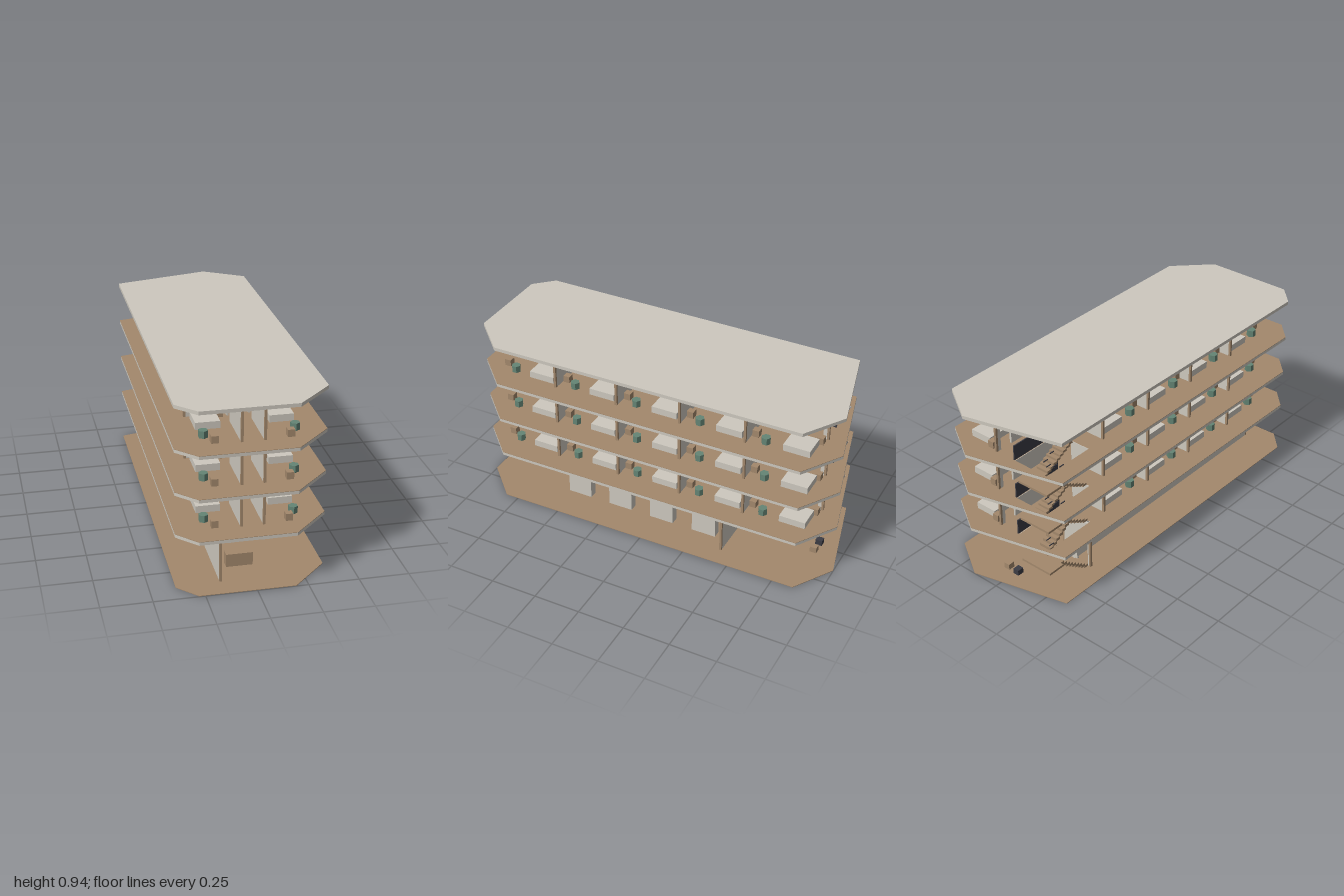
import * as THREE from 'three';

export function createModel() {
  const model = new THREE.Group();
  const mat = (name, color, extra = {}) => Object.assign(new THREE.MeshStandardMaterial({ color, ...extra }), { name });
  const concrete = mat('concrete', 0xcdc8be);
  const timber = mat('timber', 0xa3886c);
  const green = mat('planter green', 0x648575, { flatShading: true });
  const dark = mat('dark metal', 0x3c3c44);

  const add = (name, geo, material, parent = model) => {
    const mesh = new THREE.Mesh(geo, material);
    mesh.name = name;
    parent.add(mesh);
    return mesh;
  };
  // box given by its min and max along each axis
  const box = (name, material, [x0, x1], [y0, y1], [z0, z1], parent = model) => {
    const m = add(name, new THREE.BoxGeometry(Math.abs(x1 - x0), y1 - y0, Math.abs(z1 - z0)), material, parent);
    m.position.set((x0 + x1) / 2, (y0 + y1) / 2, (z0 + z1) / 2);
    return m;
  };

  // storey slabs share one outline; middle slabs have a stairwell hole
  const outline = [[-0.36, -0.875], [0.15, -1], [0.36, -0.865], [0.37, 0.82], [0.19, 1], [-0.28, 1], [-0.375, 0.9]];
  const well = [[-0.265, -0.885], [-0.065, -0.885], [-0.065, -0.59], [-0.265, -0.59]];
  const toPoints = (list) => list.map(([x, z]) => new THREE.Vector2(x, -z));
  const plate = (name, material, y, thick, hole) => {
    const shape = new THREE.Shape(toPoints(outline));
    if (hole) shape.holes.push(new THREE.Path(toPoints(well)));
    const geo = new THREE.ExtrudeGeometry(shape, { depth: thick, bevelEnabled: false });
    geo.rotateX(-Math.PI / 2);
    add(name, geo, material).position.y = y;
  };

  // wall panel from u0 to u1 with door notches, along x or z
  const T = 0.011, DOOR = 0.165;
  const wall = (name, axis, at, u0, u1, y0, y1, doors = [], parent = model) => {
    const s = new THREE.Shape();
    s.moveTo(u0, 0);
    for (const [a, b] of doors) {
      s.lineTo(a, 0); s.lineTo(a, DOOR); s.lineTo(b, DOOR); s.lineTo(b, 0);
    }
    s.lineTo(u1, 0); s.lineTo(u1, y1 - y0); s.lineTo(u0, y1 - y0);
    const geo = new THREE.ExtrudeGeometry(s, { depth: T, bevelEnabled: false });
    geo.translate(0, 0, -T / 2);
    if (axis === 'z') geo.rotateY(-Math.PI / 2);
    const m = add(name, geo, concrete, parent);
    m.position.set(axis === 'z' ? at : 0, y0, axis === 'x' ? at : 0);
  };
  // timber trim covering a wall end
  const trim = (x, z, y0, y1, parent = model) =>
    box('wallEndTrim', timber, [x - 0.006, x + 0.006], [y0, y1], [z - 0.006, z + 0.006], parent);

  // ground and slabs
  const levels = [0, 0.288, 0.506, 0.724, 0.942], SLAB = 0.018;
  plate('ground', timber, 0, 0.003, false);
  levels.slice(1).forEach((y, i) => {
    const roof = i === 3;
    plate(roof ? 'roofSlab' : 'floorSlab', concrete, y - SLAB, roof ? SLAB : SLAB - 0.002, !roof);
    if (!roof) plate('floorFinish', timber, y - 0.002, 0.002, true);
  });

  // ground storey
  const gTop = levels[1] - SLAB;
  wall('longGroundWall', 'z', -0.155, -0.585, 0.885, 0, gTop);
  trim(-0.155, 0.885, 0, gTop);
  wall('stairWall', 'x', -0.585, -0.26, -0.085, 0, gTop, [[-0.247, -0.175]]);
  trim(-0.26, -0.585, 0, gTop);
  trim(-0.085, -0.585, 0, gTop);
  wall('backGroundWall', 'x', -0.42, -0.07, 0.26, 0, gTop, [[-0.005, 0.065]]);
  trim(0.26, -0.42, 0, gTop);
  trim(-0.066, -0.42, 0, gTop);
  for (const x of [-0.05, 0.137])
    for (let i = 0; i < 4; i++) {
      const z = 0.4625 - i * 0.248;
      box('groundBlock', concrete, [x, x + 0.045], [-0.001, 0.112], [z - 0.0675, z + 0.0675]);
    }
  box('receptionDesk', timber, [-0.1, 0.033], [0, 0.07], [0.717, 0.762]);
  box('timberCrate', timber, [0.032, 0.065], [0, 0.035], [-0.872, -0.836]);
  box('darkCrate', dark, [-0.035, -0.002], [0, 0.033], [-0.876, -0.84]);

  // furniture of one room; side mirrors it across the corridor
  const furnish = (side, y, z0, z1, parent) => {
    const item = (name, m, x0, x1, a, b) => box(name, m, [side * x0, side * x1], [y, y + 0.036], [a, b], parent);
    item('bed', concrete, 0.12, 0.24, z0 + 0.026, z0 + 0.166);
    item('stool', timber, 0.08, 0.114, z0 + 0.008, z0 + 0.042);
    item('balconyBox', timber, 0.163, 0.198, z1 - 0.045, z1 - 0.01);
    const pot = add('planter', new THREE.CylinderGeometry(0.0238, 0.0238, 0.036, 6), green, parent);
    pot.position.set(side * 0.219, y + 0.018, z1 - 0.093);
  };

  // upper storeys: five rooms on one side, four plus the stairs on the other
  const sides = [
    { side: 1, count: 5, pitch: 0.356, end: -0.89 },
    { side: -1, count: 4, pitch: 0.3425, end: -0.48 },
  ];
  for (let f = 1; f <= 3; f++) {
    const y0 = levels[f], y1 = levels[f + 1] - SLAB;
    const storey = new THREE.Group();
    storey.name = 'upperStorey';
    model.add(storey);
    for (const { side, count, pitch, end } of sides) {
      const doors = [];
      for (let i = 0; i < count; i++) {
        const z1 = 0.89 - i * pitch, z0 = z1 - pitch;
        doors.unshift([z0 + 0.03, z0 + 0.1]);
        furnish(side, y0, z0, z1, storey);
        if (z0 > -0.8) {
          wall('roomWall', 'x', z0, side > 0 ? 0.055 : -0.26, side > 0 ? 0.26 : -0.055, y0, y1, [], storey);
          trim(side * 0.26, z0, y0, y1, storey);
        }
      }
      wall('corridorWall', 'z', side * 0.055, end, 0.885, y0, y1, doors, storey);
      trim(side * 0.055, 0.885, y0, y1, storey);
      trim(side * 0.055, end + 0.005, y0, y1, storey);
    }
    box('stairwellRailing', dark, [-0.062, -0.056], [y0, y0 + 0.08], [-0.885, -0.59], storey);
  }

  // stairs: two flights and a half landing for each storey
  const STEPS = 9, run = 0.2 / STEPS;
  for (let f = 0; f < 3; f++) {
    const stairs = new THREE.Group();
    stairs.name = 'stairs';
    model.add(stairs);
    const base = levels[f], half = (levels[f + 1] - base) / 2, rise = half / STEPS;
    box('landing', timber, [-0.265, -0.08], [base + half - 0.012, base + half], [-0.885, -0.79], stairs);
    for (let i = 0; i < STEPS; i++) {
      const flights = [
        { x: [-0.248, -0.18], rail: -0.183, y: base + (i + 1) * rise, z: -0.59 - i * run, dir: -1 },
        { x: [-0.16, -0.09], rail: -0.157, y: base + half + (i + 1) * rise, z: -0.79 + i * run, dir: 1 },
      ];
      for (const { x, rail, y, z, dir } of flights) {
        box('tread', timber, x, [y - Math.min(rise, 0.016), y], [z, z + dir * (run + 0.005)], stairs);
        if (i % 2 === 0)
          box('handrailPiece', dark, [rail - 0.002, rail + 0.002], [y + 0.076, y + 0.08], [z, z + dir * 0.03], stairs);
      }
    }
  }
  return model;
}
